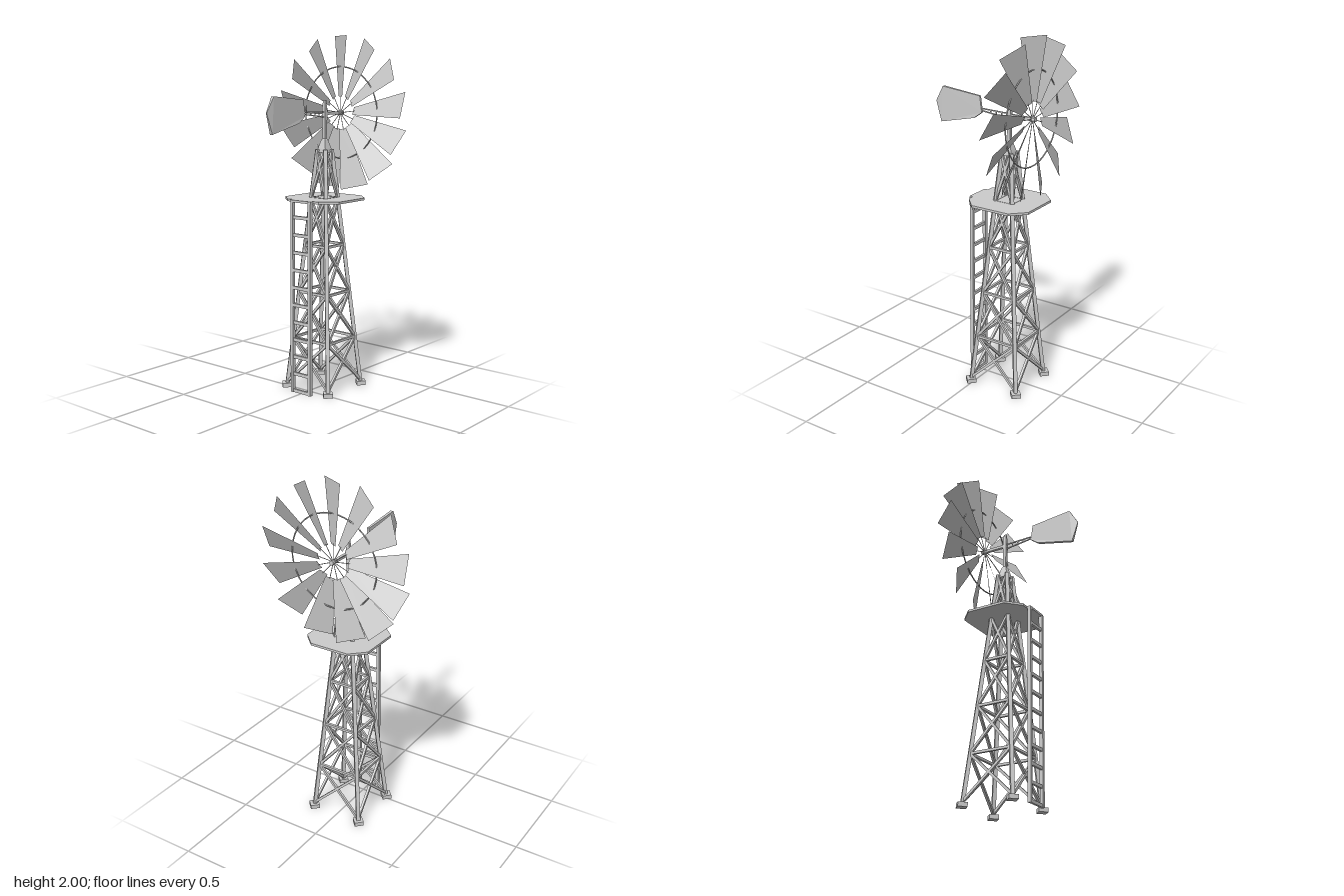
import * as THREE from 'three';

const V = (x, y, z) => new THREE.Vector3(x, y, z);
const grey = new THREE.MeshStandardMaterial({ color: 0xcccccc, flatShading: true });
const sheet = new THREE.MeshStandardMaterial({ color: 0xcccccc, flatShading: true, side: THREE.DoubleSide });

function add(parent, name, geometry, material = grey) {
  const mesh = new THREE.Mesh(geometry, material);
  mesh.name = name;
  parent.add(mesh);
  return mesh;
}

function group(parent, name) {
  const g = new THREE.Group();
  g.name = name;
  parent.add(g);
  return g;
}

// Square bar from a to b; one pair of its sides faces the given direction
function beam(parent, name, a, b, width, facing, depth = width) {
  const dir = b.clone().sub(a);
  const mesh = add(parent, name, new THREE.BoxGeometry(width, dir.length(), depth));
  const y = dir.normalize();
  const x = new THREE.Vector3().crossVectors(y, facing).normalize();
  const z = new THREE.Vector3().crossVectors(x, y);
  mesh.quaternion.setFromRotationMatrix(new THREE.Matrix4().makeBasis(x, y, z));
  mesh.position.copy(a).add(b).multiplyScalar(0.5);
  return mesh;
}

// Flat outline extruded and centred on its own thickness
function plate(parent, name, points, thickness) {
  const shape = new THREE.Shape(points.map(([x, y]) => new THREE.Vector2(x, y)));
  const geometry = new THREE.ExtrudeGeometry(shape, { depth: thickness, bevelEnabled: false });
  geometry.translate(0, 0, -thickness / 2);
  return add(parent, name, geometry);
}

const CX = 0.14;      // tower axis
const HUB_X = 0.281;  // wheel plane
const HUB_Y = 1.57;

// Half width of the tapering tower at height y
const half = (y) => 0.152 - 0.09 * y;

function buildTower(model) {
  const tower = group(model, 'tower');
  tower.position.x = CX;
  const levels = [0.03, 0.29, 0.56, 0.83, 1.095, 1.37];
  for (let i = 0; i < 4; i++) {
    const side = group(tower, 'towerSide');
    side.rotation.y = (i * Math.PI) / 2;
    const corner = (y, s) => V(s * half(y), y, half(y));

    // Corner leg and its footing
    beam(side, 'leg', corner(0.01, 1), corner(1.37, 1), 0.021, V(1, 0, 1));
    const foot = add(side, 'foot', new THREE.BoxGeometry(0.052, 0.024, 0.052));
    foot.position.set(0.152, 0.012, 0.152);
    foot.rotation.y = Math.PI / 4;

    // Cross braces and horizontal girts
    for (let k = 0; k < levels.length - 1; k++) {
      const lo = levels[k], hi = levels[k + 1];
      for (const s of [-1, 1]) beam(side, 'crossBrace', corner(lo, s), corner(hi, -s), 0.014, V(0, 0, 1));
      if (k > 0) beam(side, 'girt', corner(lo, -1), corner(lo, 1), 0.014, V(0, 0, 1));
    }
  }

  // Square tapered cap and mast in one profile
  const profile = [[0, 1.35], [0.03, 1.355], [0.027, 1.375], [0.013, 1.425], [0.008, 1.43],
    [0.011, 1.56], [0.01, 1.6], [0.006, 1.645], [0, 1.645]];
  add(tower, 'mast', new THREE.LatheGeometry(
    profile.map(([r, y]) => new THREE.Vector2(r * Math.SQRT2, y)), 4, Math.PI / 4));
}

function buildPlatform(model) {
  const platform = group(model, 'platform');
  // Octagonal deck with a landing tab above the ladder
  const outline = [[-0.07, -0.072], [-0.048, -0.072], [-0.048, -0.112], [0.027, -0.194], [0.258, -0.194],
    [0.335, -0.115], [0.335, 0.115], [0.258, 0.194], [0.027, 0.194], [-0.048, 0.112],
    [-0.048, 0.072], [-0.07, 0.072]];
  const deck = plate(platform, 'deck', outline, 0.013);
  deck.rotation.x = -Math.PI / 2;
  deck.position.y = 1.094;
}

function buildLadder(model) {
  const ladder = group(model, 'ladder');
  for (const s of [-1, 1]) {
    const rail = add(ladder, 'ladderRail', new THREE.BoxGeometry(0.02, 1.095, 0.017));
    rail.position.set(-0.061, 0.5475, s * 0.063);
  }
  for (let i = 0; i <= 10; i++) {
    const rung = add(ladder, 'ladderRung', new THREE.BoxGeometry(0.014, 0.018, 0.12));
    rung.position.set(-0.061, 0.009 + i * 0.0995, 0);
  }
}

function buildWheel(model) {
  const wheel = group(model, 'windWheel');
  wheel.position.set(HUB_X, HUB_Y, 0);
  const count = 13;

  // Flat pitched blade, narrow at the root and wide at the tip
  const shape = new THREE.Shape([
    new THREE.Vector2(-0.024, 0.092), new THREE.Vector2(0.024, 0.092),
    new THREE.Vector2(0.079, 0.43), new THREE.Vector2(-0.079, 0.43)]);
  const blade = new THREE.ShapeGeometry(shape);
  blade.rotateY(Math.PI / 2 - 0.48);
  const spoke = new THREE.CylinderGeometry(0.002, 0.002, 0.1, 5);
  spoke.translate(0, 0.05, 0);

  for (let i = 0; i < count; i++) {
    const arm = group(wheel, 'bladeArm');
    arm.rotation.x = (i / count) * Math.PI * 2;
    add(arm, 'blade', blade, sheet);
    add(arm, 'spoke', spoke);
  }

  // Ring tying the blades together
  const ring = add(wheel, 'tieRing', new THREE.TorusGeometry(0.258, 0.004, 5, 39));
  ring.rotation.y = Math.PI / 2;

  // Hub and drive shaft
  const hub = add(wheel, 'hub', new THREE.CylinderGeometry(0.013, 0.013, 0.04, 10));
  hub.rotation.z = Math.PI / 2;
  beam(model, 'driveShaft', V(CX, HUB_Y, 0), V(HUB_X, HUB_Y, 0), 0.016, V(0, 0, 1));
}

function buildTail(model) {
  const tail = group(model, 'tail');
  // Trussed boom
  const top = (x) => V(x, 1.582 - (x + 0.05) * 0.02, 0);
  const bottom = (x) => V(x, 1.572 - (x + 0.05) * 0.12, 0);
  beam(tail, 'upperBoom', top(-0.06), top(CX), 0.006, V(0, 0, 1));
  beam(tail, 'lowerBoom', bottom(-0.06), bottom(CX), 0.006, V(0, 0, 1));
  for (const x of [0.02, 0.055, 0.09]) beam(tail, 'boomStrut', top(x), bottom(x), 0.005, V(0, 0, 1));

  // Vane, thinning towards its trailing point
  const vane = plate(tail, 'vane', [[-0.035, 1.56], [-0.048, 1.65], [-0.29, 1.673],
    [-0.34, 1.587], [-0.303, 1.473], [-0.085, 1.524]], 0.018);
  const p = vane.geometry.attributes.position;
  for (let i = 0; i < p.count; i++) {
    const x = p.getX(i);
    if (x < -0.32) p.setZ(i, p.getZ(i) * 0.3);
    else if (x > -0.06) p.setZ(i, p.getZ(i) * 0.7);
  }
  vane.geometry.computeVertexNormals();
}

export function createModel() {
  const model = new THREE.Group();
  model.name = 'windPump';
  buildTower(model);
  buildPlatform(model);
  buildLadder(model);
  buildWheel(model);
  buildTail(model);
  return model;
}
